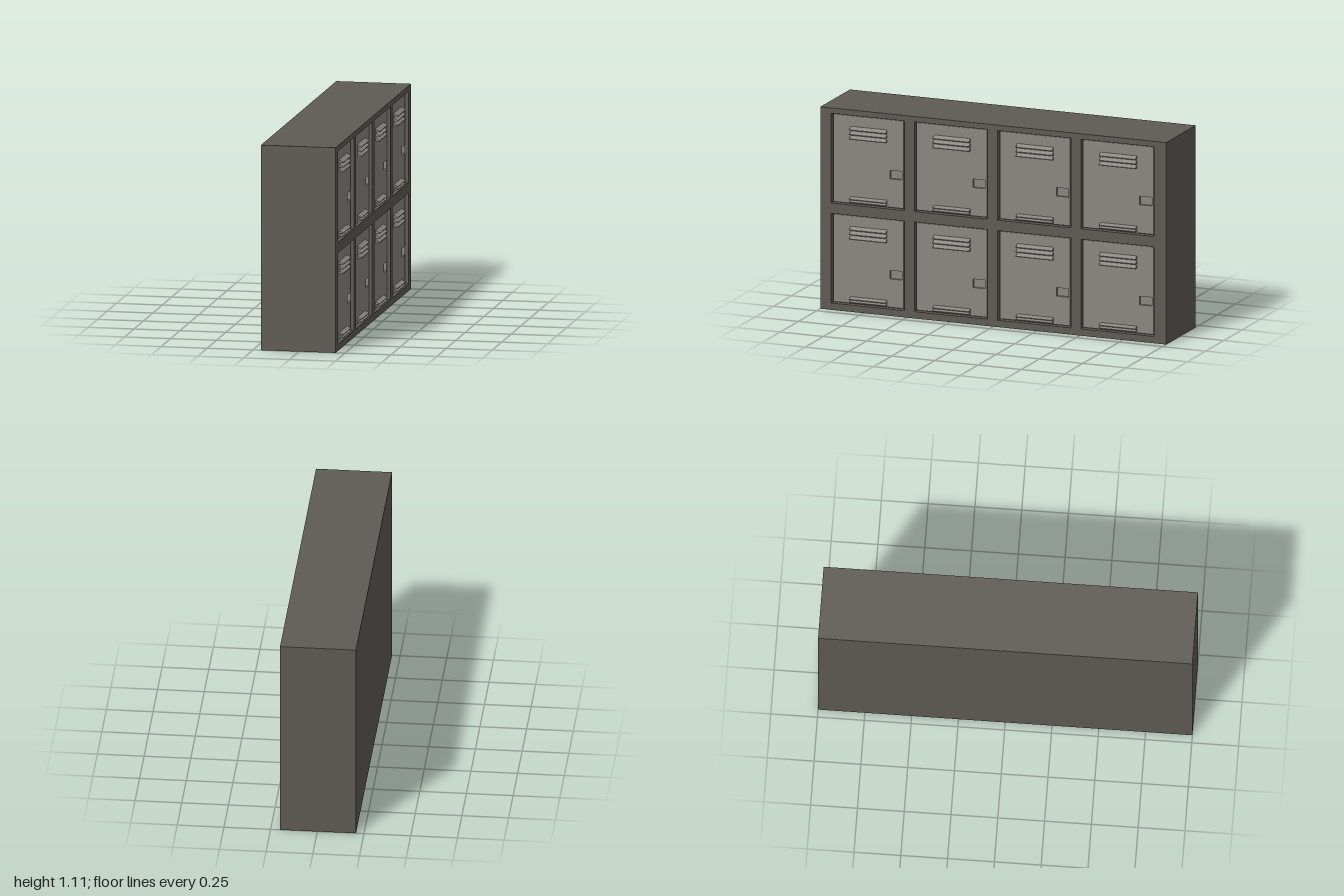
import * as THREE from 'three';

const bodyPaint = new THREE.MeshStandardMaterial({ color: 0x5e5a55 });
bodyPaint.name = 'dark cabinet paint';
const doorPaint = new THREE.MeshStandardMaterial({ color: 0x8a8580 });
doorPaint.name = 'light door paint';

const FACE = 0.2, RECESS = 0.166, DOOR = 0.184, BACK = -0.207;
const HEIGHT = 1.11, COLS = 4, ROWS = 2, STEP_U = 0.4815, STEP_V = 0.55;

function rect(path, u0, v0, u1, v1) {
  path.moveTo(u0, v0);
  path.lineTo(u1, v0);
  path.lineTo(u1, v1);
  path.lineTo(u0, v1);
  path.closePath();
  return path;
}

function mesh(name, geometry, material) {
  const m = new THREE.Mesh(geometry, material);
  m.name = name;
  return m;
}

// flat panel between two depths
function panel(shape, z0, z1) {
  return new THREE.ExtrudeGeometry(shape, { depth: z1 - z0, bevelEnabled: false }).translate(0, 0, z0);
}

// wedge-shaped vent slat that leans outward toward its lower edge
function louver(top, bottom, reach) {
  const s = new THREE.Shape();
  s.moveTo(0, top);
  s.lineTo(0, bottom);
  s.lineTo(reach, bottom);
  s.lineTo(reach, bottom + 0.004);
  s.closePath();
  const g = new THREE.ExtrudeGeometry(s, { depth: 0.21, bevelEnabled: false });
  g.rotateY(-Math.PI / 2); // profile x becomes outward depth
  return g.translate(-0.62, 0, DOOR);
}

// one door, placed in the lower row of the first column
function makeDoor() {
  const door = new THREE.Group();
  door.name = 'door';
  const shape = rect(new THREE.Shape(), -0.931, 0.043, -0.524, 0.524);
  shape.holes.push(rect(new THREE.Path(), -0.604, 0.199, -0.534, 0.246));
  door.add(mesh('doorPanel', panel(shape, RECESS, DOOR), doorPaint));
  door.add(mesh('latchPocketBack',
    new THREE.BoxGeometry(0.07, 0.047, 0.003).translate(-0.569, 0.2225, RECESS + 0.0015), doorPaint));
  for (let i = 0; i < 3; i++) {
    const bottom = 0.448 - i * 0.025;
    door.add(mesh('upperLouver', louver(bottom + 0.018, bottom, 0.023), doorPaint));
  }
  for (let i = 0; i < 2; i++) {
    const bottom = 0.066 - i * 0.015;
    door.add(mesh('lowerLouver', louver(bottom + 0.014, bottom, 0.023), doorPaint));
  }
  return door;
}

export function createModel() {
  const model = new THREE.Group();
  model.name = 'lockers';
  const cabinet = new THREE.Group();
  cabinet.name = 'cabinet';
  cabinet.rotation.y = Math.PI / 2; // doors look toward +x
  model.add(cabinet);

  // solid carcass behind the door recesses
  cabinet.add(mesh('carcass',
    new THREE.BoxGeometry(2, HEIGHT, RECESS - BACK).translate(0, HEIGHT / 2, (RECESS + BACK) / 2), bodyPaint));

  // face frame with eight openings, and a door in each
  const frame = rect(new THREE.Shape(), -1, 0, 1, HEIGHT);
  for (let c = 0; c < COLS; c++) {
    for (let r = 0; r < ROWS; r++) {
      const u = c * STEP_U, v = r * STEP_V;
      frame.holes.push(rect(new THREE.Path(), -0.937 + u, 0.037 + v, -0.513 + u, 0.53 + v));
      const door = makeDoor();
      door.position.set(u, v, 0);
      cabinet.add(door);
    }
  }
  cabinet.add(mesh('faceFrame', panel(frame, RECESS, FACE), bodyPaint));
  return model;
}
